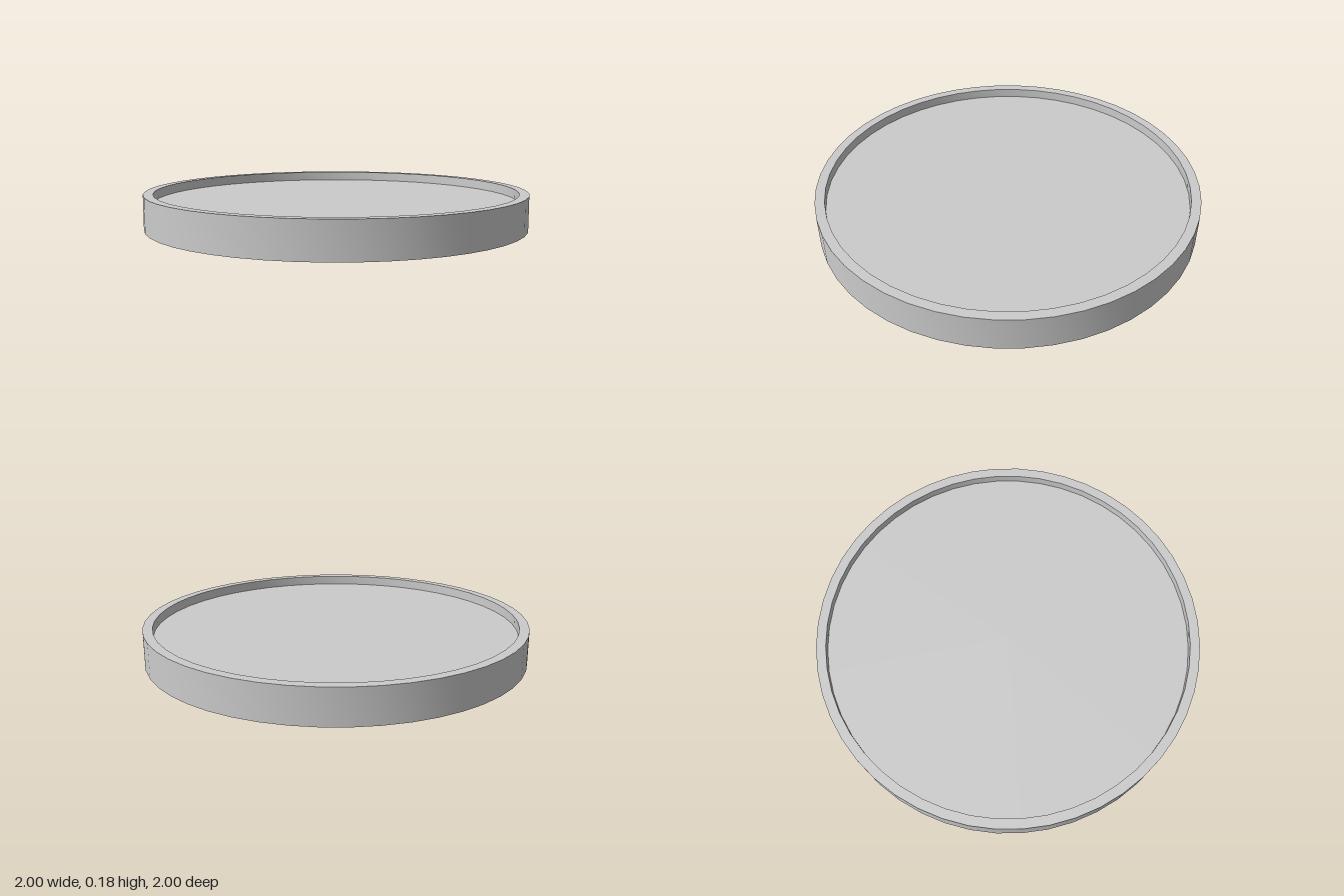
import * as THREE from 'three';
import { toCreasedNormals } from 'three/addons/utils/BufferGeometryUtils.js';

const RADIUS = 1, INNER = 0.95, HEIGHT = 0.18, FLOOR = 0.13, SEGMENTS = 48;

export function createModel() {
  const group = new THREE.Group();
  group.name = 'roundTray';

  // Closed profile: underside, outer wall, rim, inner wall, recessed floor
  const profile = [
    [0, 0], [RADIUS, 0], [RADIUS, HEIGHT], [INNER, HEIGHT], [INNER, FLOOR], [0, FLOOR],
  ].map(([r, y]) => new THREE.Vector2(r, y));

  const geometry = toCreasedNormals(new THREE.LatheGeometry(profile, SEGMENTS), Math.PI / 6);
  const tray = new THREE.Mesh(geometry, new THREE.MeshStandardMaterial({ color: 0xcccccc }));
  tray.name = 'tray';
  group.add(tray);
  return group;
}
